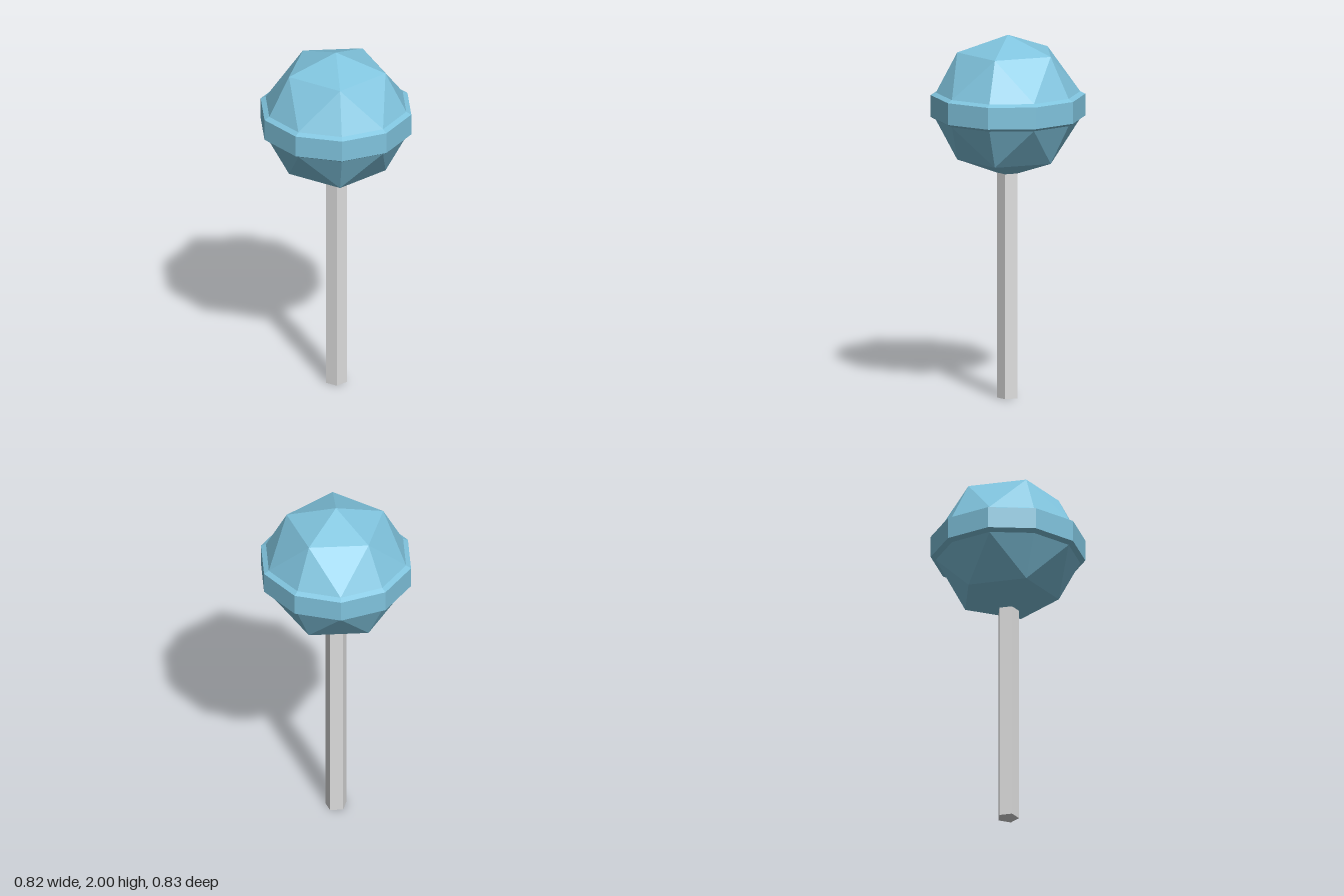
import * as THREE from 'three';

const TURN = THREE.MathUtils.degToRad(101); // shared twist of stick, band and ball
const MID = 1.61;                           // height of the ball's equator

// Point on a ring of the ball; steps of 36 degrees
const ringPoint = (r, y, step) => {
  const a = TURN + step * Math.PI / 5;
  return [r * Math.sin(a), y, r * Math.cos(a)];
};

// Half ball: pole, a ring of five, then a ring of ten (side = 1 top, -1 bottom)
function domeGeometry(side) {
  const pos = [];
  const tri = (a, b, c) => pos.push(...(side > 0 ? [a, b, c] : [a, c, b]).flat());
  const pole = [0, MID + side * 0.39, 0];
  const inner = (k) => ringPoint(0.276, MID + side * 0.295, k);
  const outer = (k) => ringPoint(0.392, MID + side * 0.075, k);
  for (let k = 0; k < 10; k += 2) {
    tri(pole, inner(k), inner(k + 2));
    tri(inner(k), outer(k - 1), outer(k));
    tri(inner(k), outer(k), outer(k + 1));
    tri(inner(k), outer(k + 1), inner(k + 2));
  }
  const g = new THREE.BufferGeometry();
  g.setAttribute('position', new THREE.Float32BufferAttribute(pos, 3));
  g.computeVertexNormals();
  return g;
}

export function createModel() {
  const blue = new THREE.MeshStandardMaterial({ name: 'blue', color: 0x80c4de, flatShading: true });
  const pale = new THREE.MeshStandardMaterial({ name: 'paleGrey', color: 0xdedede, flatShading: true });
  const model = new THREE.Group();
  model.name = 'lollipop';
  const add = (name, geometry, material) => {
    const mesh = new THREE.Mesh(geometry, material);
    mesh.name = name;
    model.add(mesh);
    return mesh;
  };

  // Five-sided stick, running a little way into the candy
  add('stick', new THREE.CylinderGeometry(0.06, 0.06, 1.3, 5, 1, false, TURN), pale).position.y = 0.65;

  // Faceted candy halves
  add('candyTop', domeGeometry(1), blue);
  add('candyBottom', domeGeometry(-1), blue);

  // Ten-sided band with bevelled rims
  const profile = [[0.392, -0.075], [0.42, -0.059], [0.42, 0.061], [0.392, 0.075]]
    .map(([r, y]) => new THREE.Vector2(r, MID + y));
  add('candyBand', new THREE.LatheGeometry(profile, 10, TURN), blue);

  return model;
}
